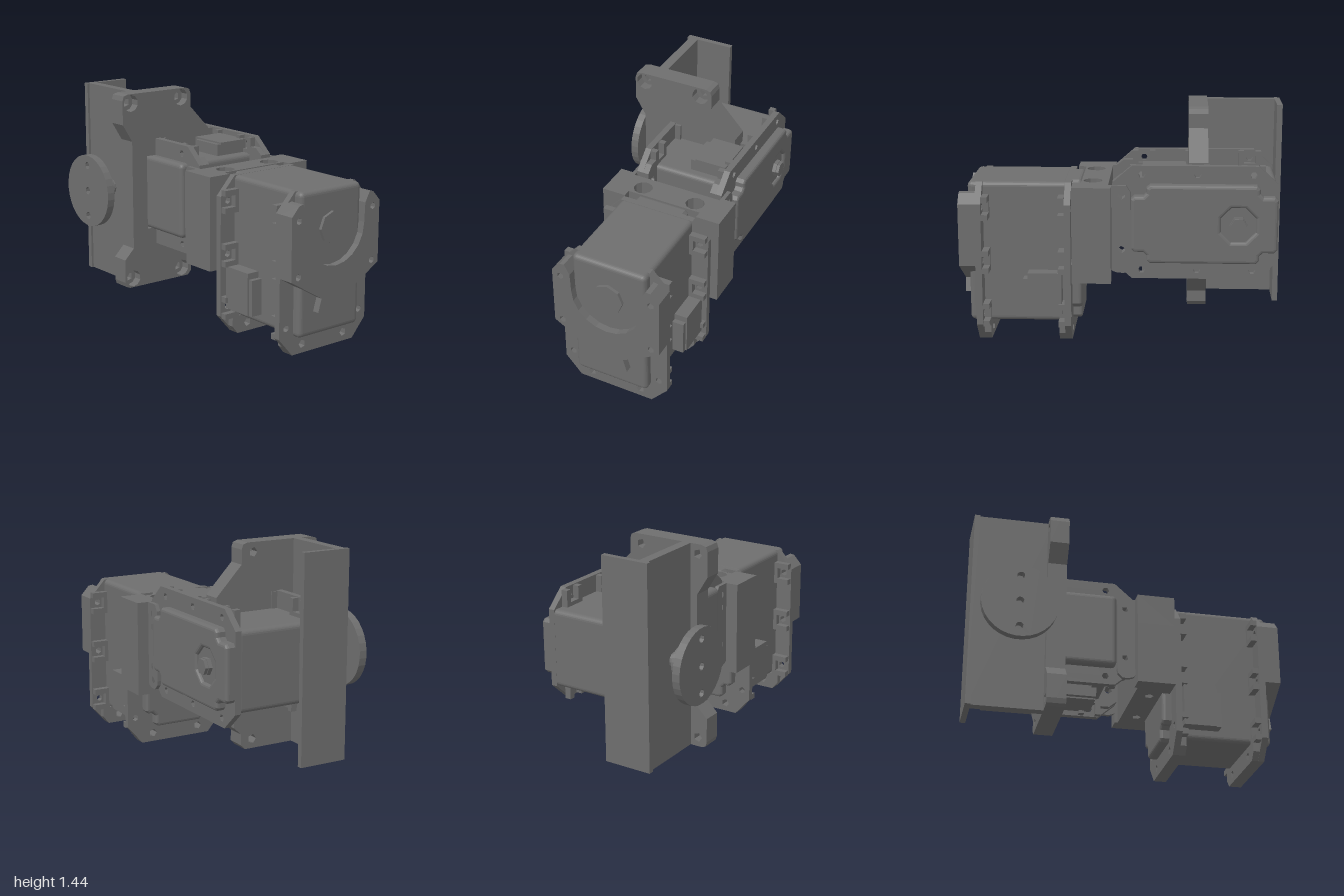
import * as THREE from 'three';
import { RoundedBoxGeometry } from 'three/addons/geometries/RoundedBoxGeometry.js';

const material = new THREE.MeshStandardMaterial({ color: 0x6e6e6e, flatShading: true });

function add(parent, name, geometry, x = 0, y = 0, z = 0) {
  const mesh = new THREE.Mesh(geometry, material);
  mesh.name = name;
  mesh.position.set(x, y, z);
  parent.add(mesh);
  return mesh;
}

// Axis-aligned box from its limits
function box(parent, name, x0, x1, y0, y1, z0, z1) {
  const g = new THREE.BoxGeometry(x1 - x0, y1 - y0, z1 - z0);
  return add(parent, name, g, (x0 + x1) / 2, (y0 + y1) / 2, (z0 + z1) / 2);
}

// Corners of a regular polygon
function polygon(x, y, r, n) {
  return Array.from({ length: n }, (_, i) => {
    const a = (i + 0.5) / n * Math.PI * 2;
    return new THREE.Vector2(x + r * Math.cos(a), y + r * Math.sin(a));
  });
}

// Closed outline with polygonal holes given as [x, y, radius, sides]
function outline(points, holes = []) {
  const shape = new THREE.Shape(points.map(p => new THREE.Vector2(...p)));
  for (const [x, y, r, n = 6] of holes) shape.holes.push(new THREE.Path(polygon(x, y, r, n).reverse()));
  return shape;
}

// Extrusion of the given depth, with optional rounded rims at both ends
function extrude(shape, depth, bevel = 0) {
  return new THREE.ExtrudeGeometry(shape, {
    depth: depth - bevel, curveSegments: 5, bevelEnabled: bevel > 0,
    bevelThickness: bevel, bevelSize: bevel, bevelOffset: -bevel, bevelSegments: 3,
  });
}

// Mirrors a right-hand half outline (bottom to top) across x = 0
const mirrored = half => [...half, ...half.slice().reverse().map(([x, y]) => [-x, y])];

// Yoke-shaped front cover around the output opening, with a tongue below
function addFrontCover(g) {
  const cover = new THREE.Shape();
  cover.moveTo(-0.135, 0.27);
  cover.quadraticCurveTo(0, 0.24, 0.135, 0.27);
  for (const p of [[0.11, 0.355], [0.355, 0.5], [0.355, 0.89], [0.3, 0.95], [0.27, 0.955], [0.235, 0.89], [0.23, 0.77]]) {
    cover.lineTo(...p);
  }
  cover.absarc(0, 0.77, 0.23, 0, Math.PI, true);
  for (const p of [[-0.235, 0.89], [-0.27, 0.955], [-0.3, 0.95], [-0.355, 0.89], [-0.355, 0.5], [-0.11, 0.355]]) {
    cover.lineTo(...p);
  }
  for (const x of [-0.3, 0.3]) for (const y of [0.52, 0.86]) {
    cover.holes.push(new THREE.Path(polygon(x, y, 0.022, 6).reverse()));
  }
  add(g, 'frontCover', extrude(cover, 0.1), 0, 0, 0.9);
}

// Actuator: length along y, output axis along z, symmetric about x = 0
function makeActuator(name) {
  const g = new THREE.Group();
  g.name = name;

  const core = new RoundedBoxGeometry(0.49, 0.895, 0.63, 3, 0.03);
  add(g, 'actuatorBody', core, 0, 0.5625, 0.64);

  // Rear cap, narrower at both ends, with an octagonal well for the shaft
  const capHalf = [[0.155, 0.115], [0.175, 0.135], [0.175, 0.19], [0.195, 0.21], [0.225, 0.21], [0.245, 0.23],
    [0.245, 0.88], [0.225, 0.9], [0.195, 0.9], [0.175, 0.92], [0.175, 0.99], [0.155, 1.01]];
  const cap = outline(mirrored(capHalf), [[0, 0.77, 0.115, 8]]);
  add(g, 'rearCap', extrude(cap, 0.08, 0.02), 0, 0, 0.27);
  const floor = new THREE.CylinderGeometry(0.14, 0.14, 0.05, 8).rotateX(Math.PI / 2);
  add(g, 'shaftWellFloor', floor, 0, 0.77, 0.295);
  for (const [r, z] of [[0.055, 0.25], [0.035, 0.23]]) {
    const shaft = new THREE.CylinderGeometry(r, r, 0.05, 6).rotateX(Math.PI / 2);
    add(g, 'rearShaft', shaft, 0, 0.77, z + 0.02);
  }
  add(g, 'rearShaftTip', new THREE.CylinderGeometry(0.05, 0.05, 0.06, 6).rotateX(Math.PI / 2), 0, 0.77, 0.255);

  // Two mounting flanges with screw holes
  const rows = [0.18, 0.52, 0.86];
  const holes = [[-0.17, 0.057, 0.027, 5], [0.17, 0.057, 0.027, 5]];
  for (const s of [-1, 1]) for (const y of rows) holes.push([s * 0.3, y, 0.022]);
  const flangeHalf = [[0.25, 0], [0.355, 0.12], [0.355, 0.89], [0.245, 1.01]];
  const flange = extrude(outline(mirrored(flangeHalf), holes), 0.04);
  const strip = extrude(outline(mirrored([[0.25, 0], [0.29, 0.05], [0.29, 0.115]]), holes.slice(0, 2)), 0.04);
  for (const [z, inner] of [[0.31, 0.35], [0.86, 0.82]]) {
    add(g, 'mountingFlange', flange, 0, 0, z);
    add(g, 'mountingTab', strip, 0, 0, inner);
    // Nut pockets along both flange edges
    for (const s of [-1, 1]) for (const y of rows) {
      for (const dy of [-0.055, 0.055]) {
        const lug = box(g, 'nutPocketWall', 0.24, 0.35, y + dy - 0.018, y + dy + 0.018, inner, inner + 0.04);
        lug.position.x *= s;
      }
      const seat = box(g, 'nutPocketFloor', 0.24, 0.27, y - 0.05, y + 0.05, inner, inner + 0.04);
      seat.position.x *= s;
    }
  }

  // Side connectors
  for (const s of [-1, 1]) {
    const plug = box(g, 'sideConnector', 0.24, 0.33, 0.18, 0.45, 0.37, 0.58);
    const latch = box(g, 'sideConnectorLatch', 0.24, 0.32, 0.18, 0.41, 0.58, 0.61);
    for (const part of [plug, latch]) part.position.x *= s;
  }

  const boss = new THREE.CylinderGeometry(0.1, 0.1, 0.03, 8).rotateX(Math.PI / 2);
  add(g, 'outputBoss', boss, 0, 0.77, 0.96);
  return g;
}

export function createModel() {
  const model = new THREE.Group();

  // Front actuator faces forward, rear one lies down with its output to -x
  const front = makeActuator('frontActuator');
  addFrontCover(front);
  front.position.set(0.11, 0, 0);
  model.add(front);
  const rear = makeActuator('rearActuator');
  rear.quaternion.setFromRotationMatrix(new THREE.Matrix4().makeBasis(
    new THREE.Vector3(0, 1, 0), new THREE.Vector3(0, 0, -1), new THREE.Vector3(-1, 0, 0)));
  rear.position.set(0.72, 0.775, 0.055);
  model.add(rear);

  // Joining bracket: H-shaped block with vertical counterbored holes
  const bracket = new THREE.Group();
  bracket.name = 'joiningBracket';
  model.add(bracket);
  const plan = [[-0.29, 0.06], [-0.185, 0.06], [-0.185, 0.08], [0.41, 0.08], [0.41, 0.06], [0.51, 0.06],
    [0.51, 0.3], [0.355, 0.3], [0.355, 0.25], [-0.135, 0.25], [-0.135, 0.3], [-0.29, 0.3]];
  for (const [top, depth, r, n] of [[1.01, 0.2, 0.06, 10], [0.81, 0.4, 0.03, 5]]) {
    const layer = outline(plan, [[-0.07, 0.18, r, n], [0.29, 0.18, r, n]]);
    add(bracket, 'bracketBlock', extrude(layer, depth).rotateX(Math.PI / 2), 0, top, 0);
  }
  // Ears gripping the rear actuator's tabs (drawn in z, y and turned to face x)
  const ear = outline([[0.08, 0.5], [0.05, 0.47], [0.02, 0.46], [-0.02, 0.46], [-0.05, 0.49], [-0.055, 0.52],
    [-0.055, 0.97], [-0.03, 1.01], [0.08, 1.01]],
    [[0, 0.52, 0.024], [0, 0.605, 0.026], [0, 0.86, 0.024], [0, 0.945, 0.026]]);
  for (const x of [-0.185, 0.435]) {
    add(bracket, 'bracketEar', extrude(ear, 0.025).rotateY(-Math.PI / 2), x, 0, 0);
  }

  // Mounting frame: C-shaped plate around the rear actuator, side wall and back wall
  const frame = new THREE.Group();
  frame.name = 'mountingFrame';
  model.add(frame);
  const plate = [[-0.4, 0.15], [0.08, 0.15], [0.11, 0.18], [0.11, 0.25], [0.285, 0.42], [0.285, 0.53], [-0.25, 0.53],
    [-0.25, 1.02], [0.285, 1.02], [0.285, 1.125], [0.11, 1.31], [0.11, 1.4], [0.1, 1.43], [0.07, 1.44], [-0.39, 1.44],
    [-0.425, 1.43], [-0.435, 1.4], [-0.435, 1.245], [-0.365, 1.13], [-0.365, 0.415], [-0.435, 0.345],
    [-0.435, 0.19], [-0.425, 0.16]];
  for (const [z, depth, r, n] of [[-0.53, 0.06, 0.03, 5], [-0.47, 0.06, 0.055, 10]]) {
    const holes = [];
    for (const x of [-0.37, 0.03]) for (const y of [0.21, 1.38]) holes.push([x, y, r, n]);
    add(frame, 'framePlate', extrude(outline(plate, holes), depth), 0, 0, z);
  }
  box(frame, 'frameSideWall', -0.32, -0.26, 0.15, 1.44, -0.99, -0.5);
  box(frame, 'frameBackWall', -0.335, -0.02, 0.15, 1.44, -1, -0.965);

  // Output horn: drilled disc on a hub
  const horn = new THREE.Group();
  horn.name = 'outputHorn';
  horn.position.set(0, 0.772, -0.715);
  model.add(horn);
  const disc = new THREE.Shape(polygon(0, 0, 0.238, 32));
  for (const y of [-0.17, 0, 0.17]) disc.holes.push(new THREE.Path(polygon(0, y, 0.025, 8).reverse()));
  add(horn, 'hornDisc', extrude(disc, 0.05).rotateY(-Math.PI / 2), -0.465, 0, 0);
  add(horn, 'hornHub', new THREE.CylinderGeometry(0.098, 0.098, 0.1, 24).rotateZ(Math.PI / 2), -0.415, 0, 0);
  add(horn, 'outputShaft', new THREE.CylinderGeometry(0.048, 0.048, 0.1, 12).rotateZ(Math.PI / 2), -0.285, 0, 0);

  return model;
}
